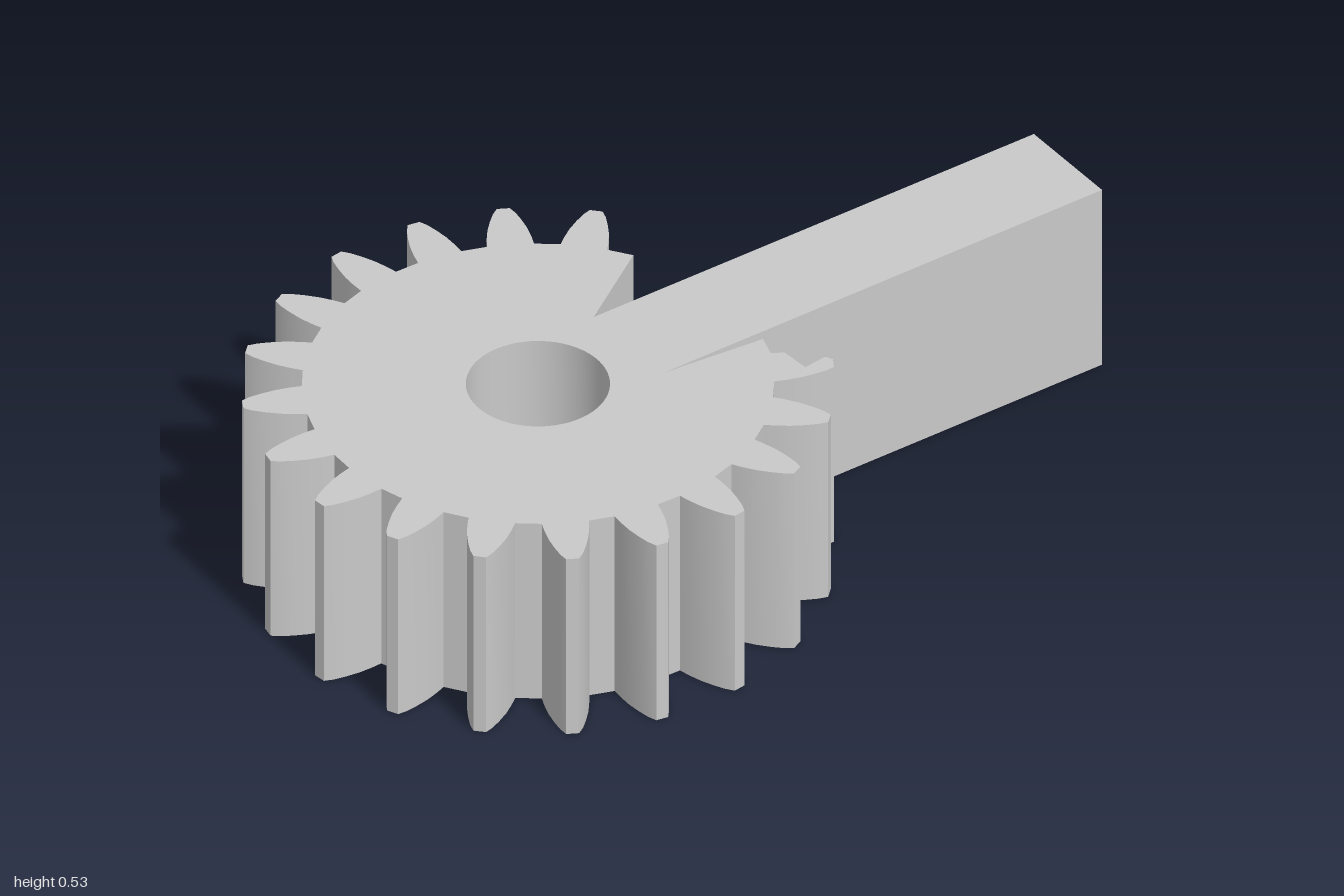
import * as THREE from 'three';
import { toCreasedNormals } from 'three/addons/utils/BufferGeometryUtils.js';

const HEIGHT = 0.53;
const CX = -0.219, CZ = 0.274;   // gear centre
const HOLE_RADIUS = 0.176;
const TEETH = 20;
const PHASE = 88.3;              // angle of the front tooth, degrees

// Half tooth profile from root to tip: [radius, half width]
const FLANK = [
  [0.574, 0.058], [0.605, 0.055], [0.64, 0.049],
  [0.675, 0.039], [0.705, 0.028], [0.726, 0.016],
];

// Point in plan (x, z), mapped to the shape plane
const plan = (x, z) => new THREE.Vector2(x, -z);

// Flank of tooth k; side -1 rises from root to tip, +1 falls back to the root
function flank(k, side) {
  const a = THREE.MathUtils.degToRad(PHASE + k * 360 / TEETH);
  const c = Math.cos(a), s = Math.sin(a);
  const points = FLANK.map(([r, w]) => plan(CX + r * c - side * w * s, CZ + r * s + side * w * c));
  return side < 0 ? points : points.reverse();
}

export function createModel() {
  const group = new THREE.Group();
  group.name = 'gearWithHandle';
  const grey = new THREE.MeshStandardMaterial({ color: 0xc9c9c9 });
  grey.name = 'grey';

  const outline = [];
  // Narrow slit beside the handle and the stepped, cut-off tooth
  outline.push(
    plan(0.071, 0.16), plan(0.275, -0.029), plan(0.307, 0.024),
    plan(0.339, 0.013), plan(0.402, 0.061), plan(0.439, 0.008), plan(0.46, 0.014),
  );
  outline.push(...flank(-6, 1));

  // Full teeth around the rest of the gear
  for (let k = -5; k <= 10; k++) outline.push(...flank(k, -1), ...flank(k, 1));

  // Wide notch, then the straight handle
  outline.push(
    plan(-0.111, -0.294), plan(-0.148, -0.024),
    plan(0.73, -1.0), plan(0.944, -0.813),
  );

  // The outline runs clockwise in the shape plane, so the bore runs the other way
  const shape = new THREE.Shape(outline);
  const bore = new THREE.Path();
  bore.absarc(CX, -CZ, HOLE_RADIUS, 0, Math.PI * 2, false);
  shape.holes.push(bore);

  let geometry = new THREE.ExtrudeGeometry(shape, {
    depth: HEIGHT, bevelEnabled: false, curveSegments: 48,
  });
  geometry.rotateX(-Math.PI / 2);
  geometry = toCreasedNormals(geometry, 0.4);

  const body = new THREE.Mesh(geometry, grey);
  body.name = 'gearAndHandle';
  group.add(body);
  return group;
}
